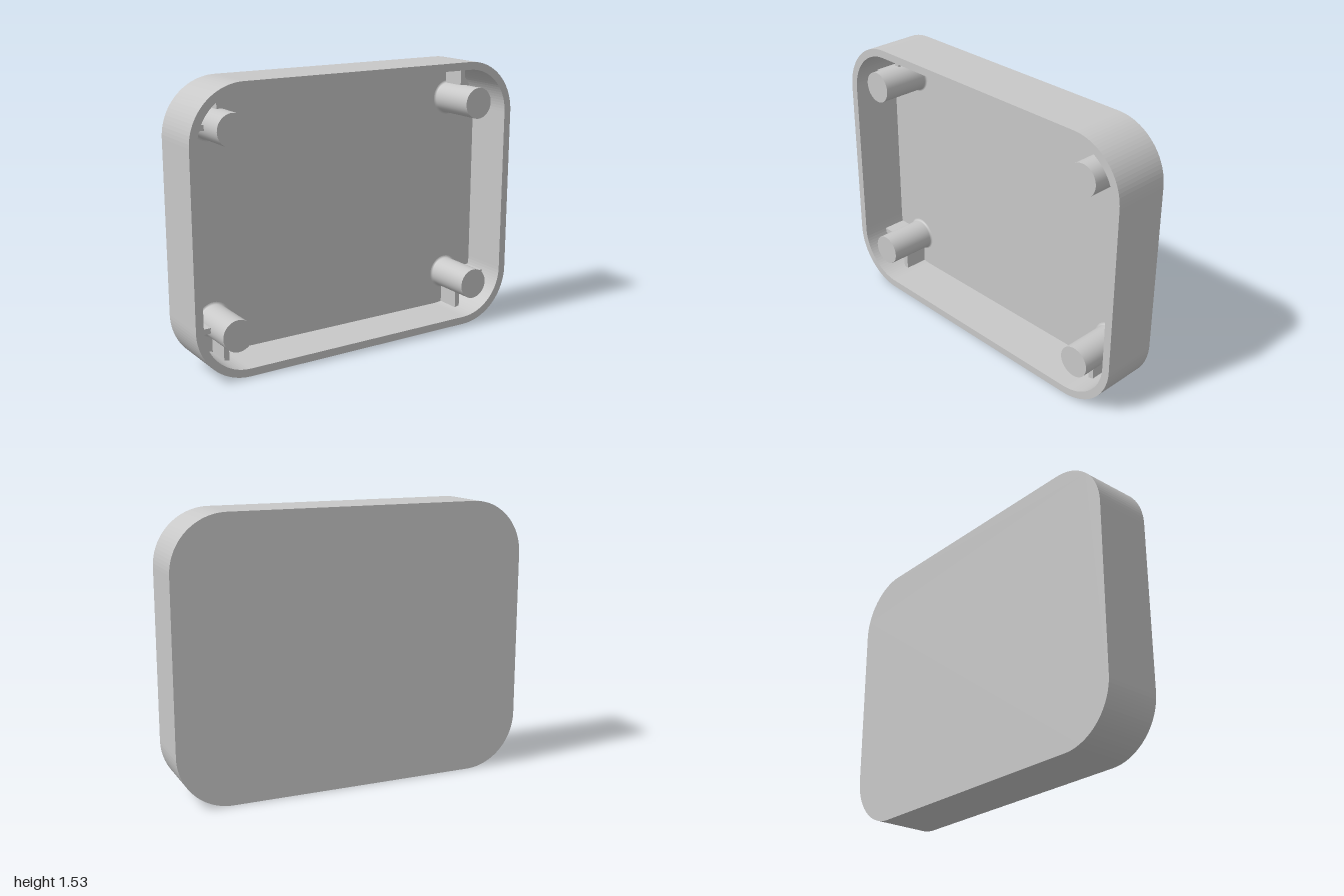
import * as THREE from 'three';

const W = 2, H = 1.53, R = 0.3, WALL = 0.043;
const BACK = -0.16, FLOOR = -0.122, FRONT = 0.16;

// Rounded rectangle centred on the origin
function outline(path, inset) {
  const x = W / 2 - inset, y = H / 2 - inset, r = R - inset;
  path.moveTo(x, -y + r);
  path.lineTo(x, y - r);
  path.absarc(x - r, y - r, r, 0, Math.PI / 2);
  path.lineTo(-x + r, y);
  path.absarc(-x + r, y - r, r, Math.PI / 2, Math.PI);
  path.lineTo(-x, -y + r);
  path.absarc(-x + r, -y + r, r, Math.PI, Math.PI * 1.5);
  path.lineTo(x - r, -y);
  path.absarc(x - r, -y + r, r, Math.PI * 1.5, Math.PI * 2);
  return path;
}

export function createModel() {
  const group = new THREE.Group();
  group.name = 'enclosureShell';
  const grey = new THREE.MeshStandardMaterial({ color: 0xc8c8c8 });
  grey.name = 'light grey plastic';

  const add = (name, geometry, x, y, z) => {
    const mesh = new THREE.Mesh(geometry, grey);
    mesh.name = name;
    mesh.position.set(x, y, z);
    group.add(mesh);
    return mesh;
  };
  const extrude = (shape, depth) =>
    new THREE.ExtrudeGeometry(shape, { depth, bevelEnabled: false, curveSegments: 12 });

  // Closed back panel and open wall
  add('backPanel', extrude(outline(new THREE.Shape(), 0), FLOOR - BACK), 0, H / 2, BACK);
  const ring = outline(new THREE.Shape(), 0);
  ring.holes.push(outline(new THREE.Path(), WALL));
  add('wall', extrude(ring, FRONT - FLOOR), 0, H / 2, FLOOR);

  // Post with a small fillet at its foot, turned to point forward
  const length = FRONT - FLOOR, r = 0.087, fillet = 0.012;
  const side = [];
  for (let i = 0; i <= 4; i++) {
    const a = (i / 4) * Math.PI / 2;
    side.push(new THREE.Vector2(r + fillet * (1 - Math.sin(a)), fillet * (1 - Math.cos(a))));
  }
  side.push(new THREE.Vector2(r, length));
  const postSide = new THREE.LatheGeometry(side, 40).rotateX(Math.PI / 2);
  const postCap = new THREE.CircleGeometry(r, 40);

  // Four corner posts, each braced to the two nearest walls
  const px = 0.765, py = 0.53, ribFront = 0.015, ribWidth = 0.03;
  const ribDepth = ribFront - FLOOR, ribZ = (ribFront + FLOOR) / 2;
  const gapX = W / 2 - WALL + 0.01 - px, gapY = H / 2 - WALL + 0.01 - py;
  for (const sx of [-1, 1]) {
    for (const sy of [-1, 1]) {
      const x = sx * px, y = H / 2 + sy * py;
      add('post', postSide, x, y, FLOOR);
      add('postCap', postCap, x, y, FRONT);
      add('sideRib', new THREE.BoxGeometry(gapX, ribWidth, ribDepth), x + sx * gapX / 2, y, ribZ);
      add('uprightRib', new THREE.BoxGeometry(ribWidth, gapY, ribDepth), x, y + sy * gapY / 2, ribZ);
    }
  }
  return group;
}
